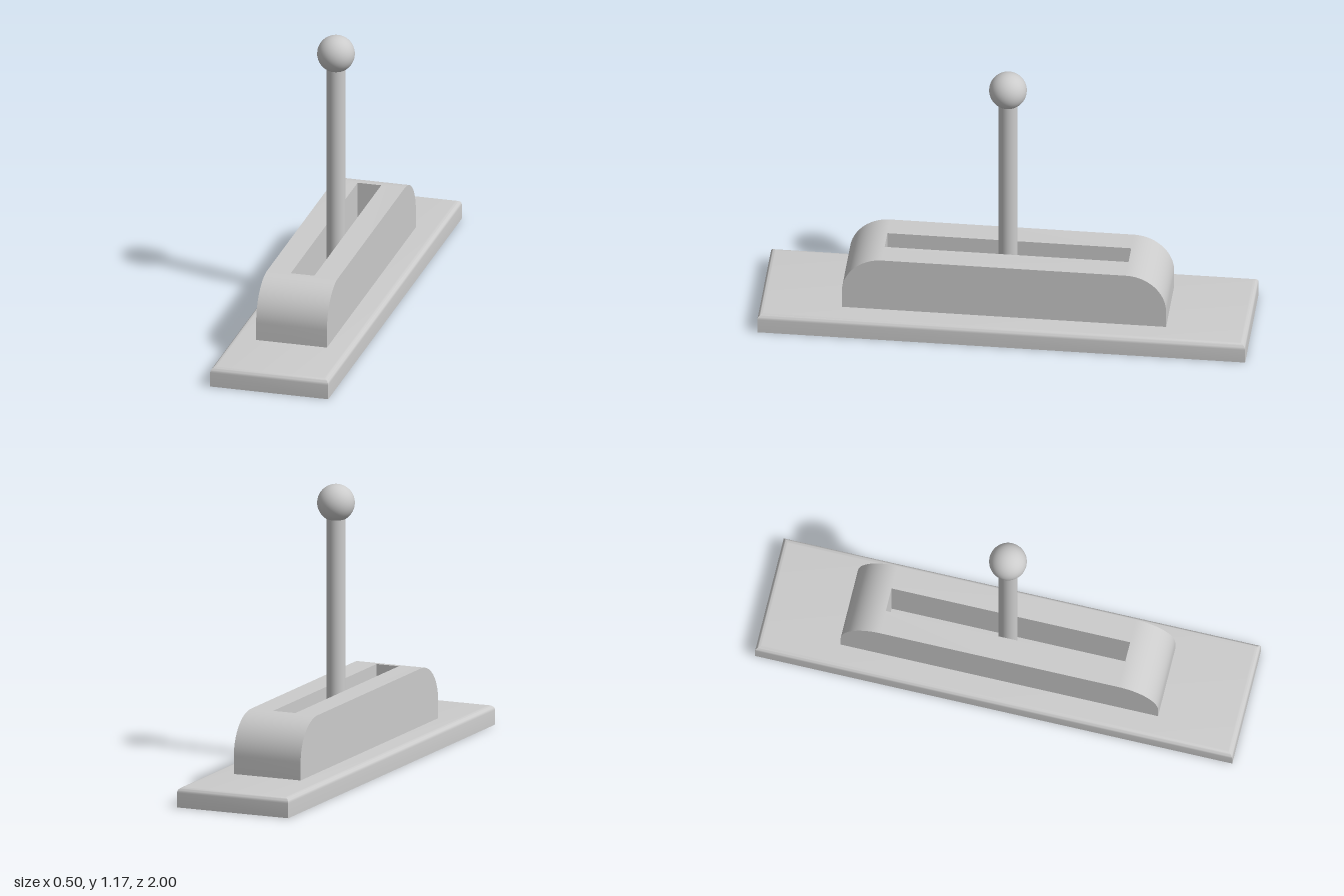
import * as THREE from 'three';
import { toCreasedNormals } from 'three/addons/utils/BufferGeometryUtils.js';

const material = new THREE.MeshStandardMaterial({ color: 0xcccccc });

function rectangle(path, hx, hz) {
  path.moveTo(-hx, -hz);
  path.lineTo(hx, -hz);
  path.lineTo(hx, hz);
  path.lineTo(-hx, hz);
  path.closePath();
  return path;
}

// Upright block whose outer walls follow rows of { y, insetX, insetZ };
// an optional slot runs straight through it.
function profiledBlock(hx, hz, rows, slot) {
  const shape = rectangle(new THREE.Shape(), hx, hz);
  if (slot) shape.holes.push(rectangle(new THREE.Path(), slot.hx, slot.hz));
  const steps = rows.length - 1;
  const geometry = new THREE.ExtrudeGeometry(shape, { depth: steps, steps, bevelEnabled: false });
  geometry.rotateX(-Math.PI / 2);
  const p = geometry.attributes.position;
  for (let i = 0; i < p.count; i++) {
    const row = rows[Math.round(p.getY(i))];
    const x = p.getX(i), z = p.getZ(i);
    const outer = Math.abs(Math.abs(x) - hx) < 1e-4;
    p.setXYZ(i,
      outer ? x - Math.sign(x) * row.insetX : x,
      row.y,
      outer ? z - Math.sign(z) * row.insetZ : z);
  }
  return toCreasedNormals(geometry, 0.6);
}

// Straight wall followed by a quarter-round up to the top.
function roundedRows(bottom, top, rx, rz, ry, segments) {
  const rows = [{ y: bottom, insetX: 0, insetZ: 0 }];
  for (let i = 0; i <= segments; i++) {
    const a = (i / segments) * Math.PI / 2;
    const inset = 1 - Math.cos(a);
    rows.push({ y: top - ry * (1 - Math.sin(a)), insetX: rx * inset, insetZ: rz * inset });
  }
  return rows;
}

export function createModel() {
  const group = new THREE.Group();
  const add = (name, geometry, y = 0) => {
    const mesh = new THREE.Mesh(geometry, material);
    mesh.name = name;
    mesh.position.y = y;
    group.add(mesh);
  };

  const baseTop = 0.083;

  // Base plate with softened top edges
  add('basePlate', profiledBlock(0.25, 1, roundedRows(0, baseTop, 0.022, 0.022, 0.022, 6)));

  // Housing with rounded ends and a long open slot
  add('slottedHousing', profiledBlock(0.15, 0.665,
    roundedRows(baseTop, 0.323, 0, 0.165, 0.165, 20), { hx: 0.05, hz: 0.5 }));

  // Lever rod standing in the slot, topped by a ball
  const rodTop = 1.08;
  add('leverRod', new THREE.CylinderGeometry(0.039, 0.039, rodTop - baseTop, 40), (rodTop + baseTop) / 2);
  add('leverKnob', new THREE.SphereGeometry(0.077, 40, 28), 1.098);

  return group;
}
